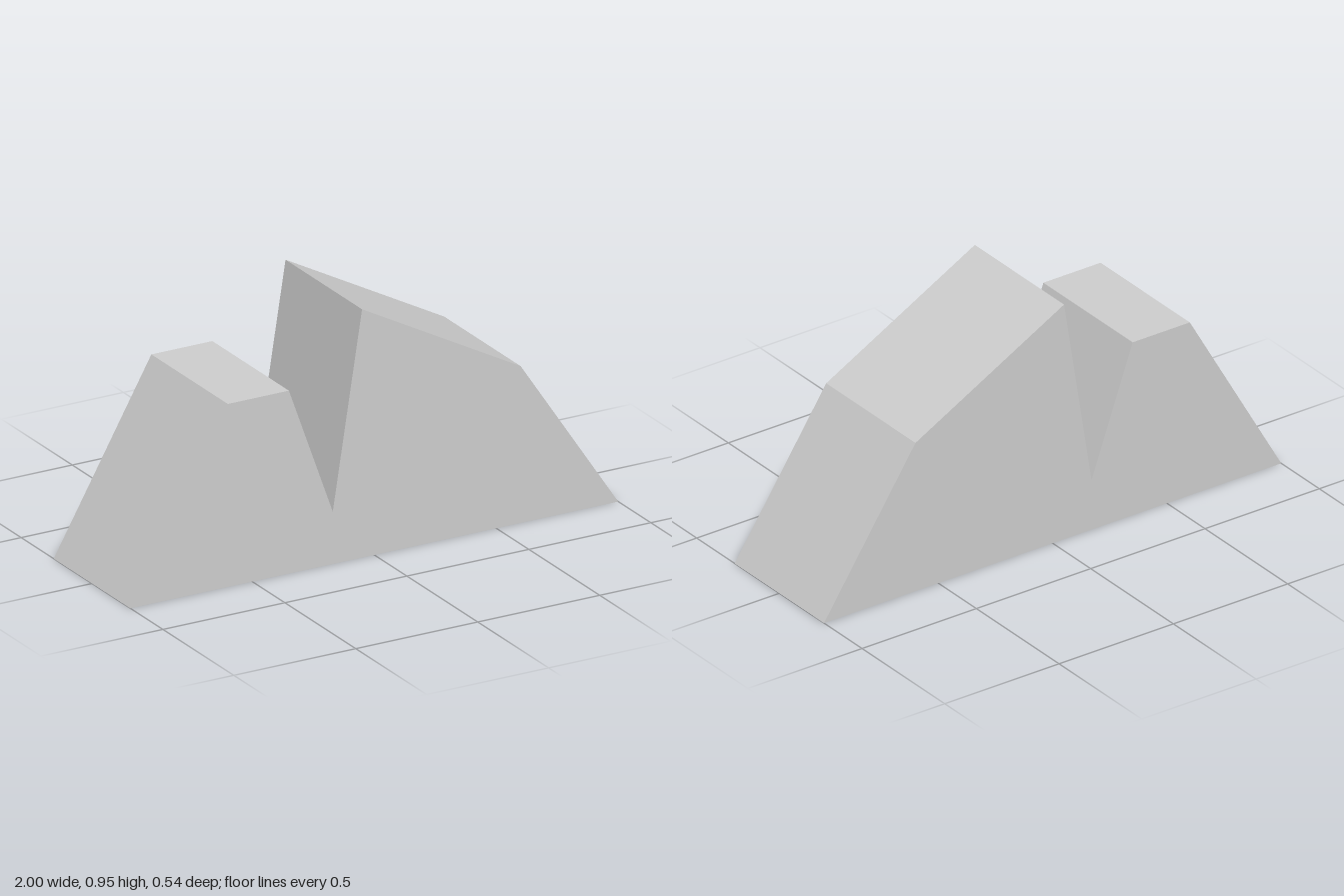
import * as THREE from 'three';

// Side-on outline, counter-clockwise from the lower left corner
const OUTLINE = [
  [-1, 0], [1, 0], [0.6, 0.6], [-0.05, 0.95],
  [-0.17, 0.2], [-0.35, 0.7], [-0.6, 0.7],
];
const DEPTH = 0.54;

export function createModel() {
  const grey = new THREE.MeshStandardMaterial({ color: 0xcccccc });
  grey.name = 'lightGrey';

  // Notched twin-peak block, extruded front to back
  const shape = new THREE.Shape(OUTLINE.map(([x, y]) => new THREE.Vector2(x, y)));
  const geometry = new THREE.ExtrudeGeometry(shape, { depth: DEPTH, bevelEnabled: false });
  geometry.translate(0, 0, -DEPTH / 2);

  const block = new THREE.Mesh(geometry, grey);
  block.name = 'notchedBlock';

  const model = new THREE.Group();
  model.name = 'twinPeakBlock';
  model.add(block);
  return model;
}
